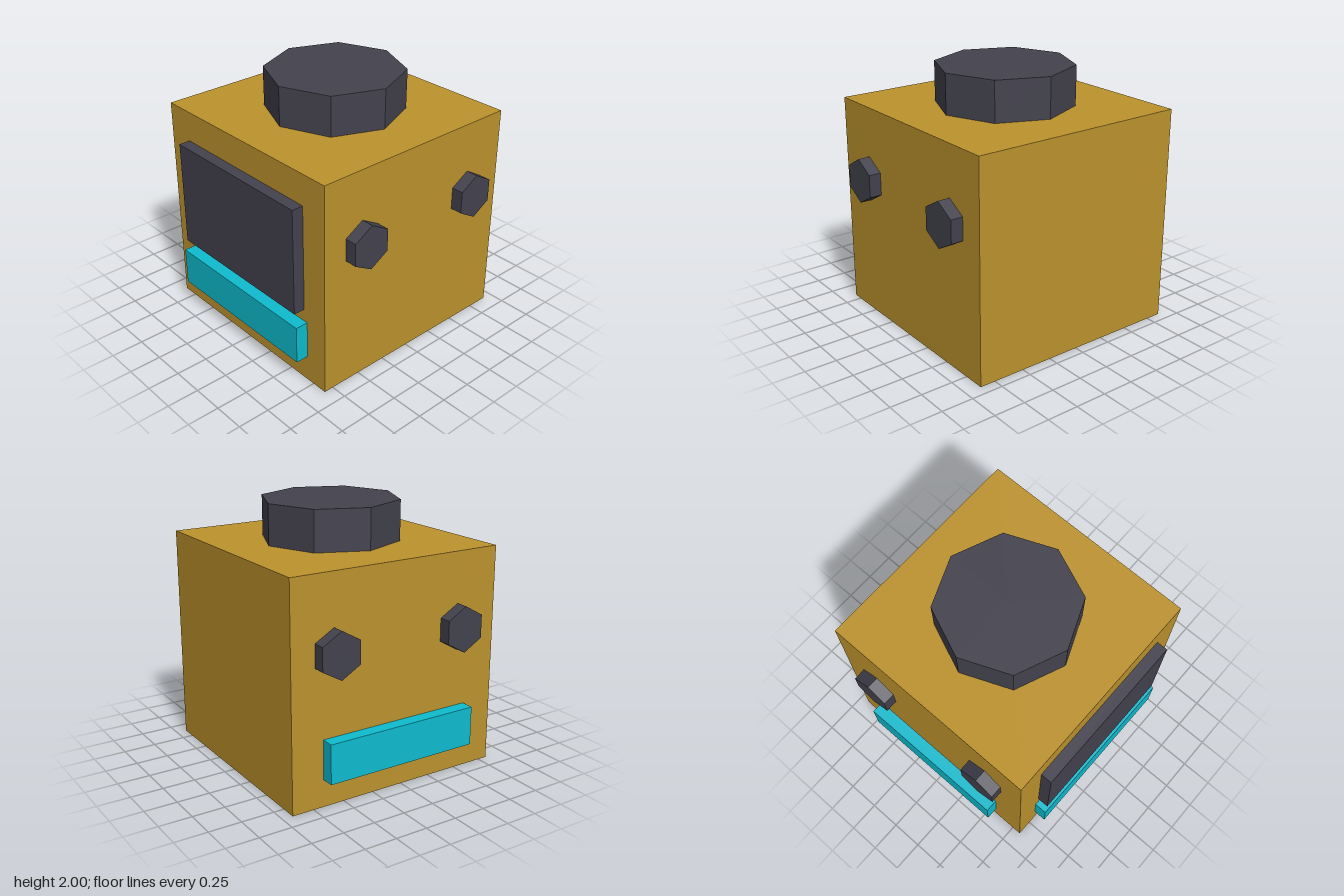
import * as THREE from 'three';

const material = (name, color) => {
  const m = new THREE.MeshStandardMaterial({ color });
  m.name = name;
  return m;
};

export function createModel() {
  const ochre = material('ochre', 0xbc922d);
  const slate = material('slate', 0x43424e);
  const cyan = material('cyan', 0x0ebbcf);
  const model = new THREE.Group();
  model.name = 'boxHead';

  const add = (name, geometry, mat) => {
    const mesh = new THREE.Mesh(geometry, mat);
    mesh.name = name;
    model.add(mesh);
    return mesh;
  };
  // Box given by its lower and upper corners
  const box = (name, mat, [x0, y0, z0], [x1, y1, z1]) => {
    const g = new THREE.BoxGeometry(x1 - x0, y1 - y0, z1 - z0);
    g.translate((x0 + x1) / 2, (y0 + y1) / 2, (z0 + z1) / 2);
    return add(name, g, mat);
  };
  // Faceted prism standing on y
  const prism = (radius, height, sides, start = 0) =>
    new THREE.CylinderGeometry(radius, radius, height, sides, 1, false, start).toNonIndexed();

  const midZ = -0.05;
  const half = 0.873;

  // Main block
  box('body', ochre, [-half, 0, -0.92], [half, 1.69, 0.825]);

  // Front panel and light bars
  box('frontPanel', slate, [-0.655, 0.61, 0.825], [0.655, 1.45, 0.915]);
  box('frontBar', cyan, [-0.685, 0.21, 0.825], [0.685, 0.51, 0.925]);
  box('rightBar', cyan, [-0.973, 0.21, -0.67], [-half, 0.51, 0.57]);

  // Octagonal cap on the top
  const cap = prism(0.53, 0.31, 8);
  cap.computeVertexNormals();
  add('topCap', cap, slate).position.set(0, 1.845, midZ);

  // Hexagonal bolts, two on each side
  for (const side of [-1, 1]) {
    for (const z of [0.482, -0.58]) {
      const bolt = prism(0.175, 0.095, 6, Math.PI / 6);
      bolt.rotateZ(Math.PI / 2);
      bolt.computeVertexNormals();
      const name = (side > 0 ? 'left' : 'right') + (z > 0 ? 'Front' : 'Back') + 'Bolt';
      add(name, bolt, slate).position.set(side * (half + 0.0475), 1.127, z);
    }
  }

  return model;
}
